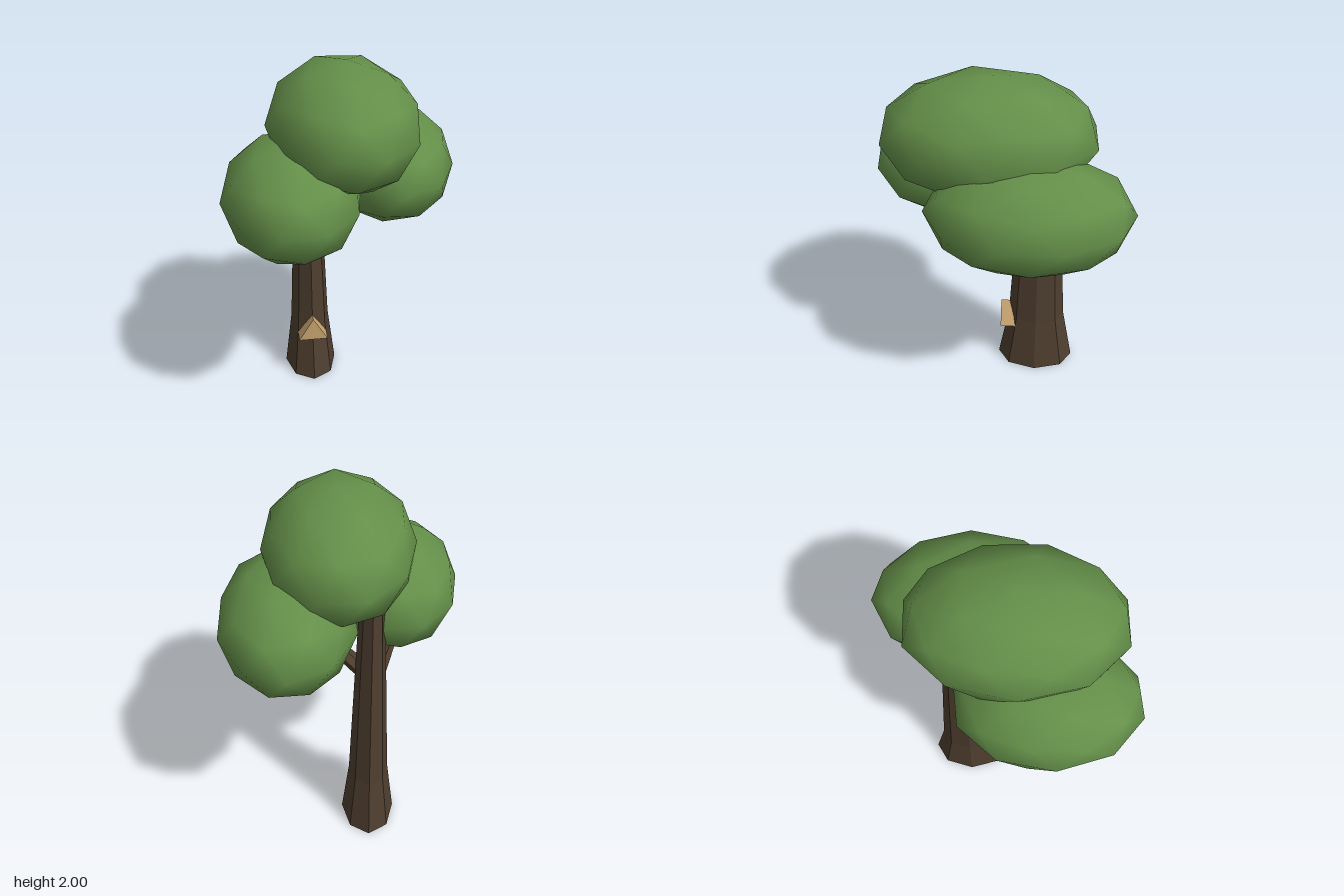
import * as THREE from 'three';

const leafGreen = new THREE.MeshStandardMaterial({ color: 0x648f49 });
const barkBrown = new THREE.MeshStandardMaterial({ color: 0x4e3e2f });
const paleWood = new THREE.MeshStandardMaterial({ color: 0xc8a470 });

// Gives every face its own normals for a faceted look
function faceted(geometry) {
  const g = geometry.index ? geometry.toNonIndexed() : geometry;
  g.computeVertexNormals();
  return g;
}

function part(name, geometry, material) {
  const mesh = new THREE.Mesh(geometry, material);
  mesh.name = name;
  return mesh;
}

// Smooth icosphere with a vertex on top, turned, then stretched to the given radii
function foliage(name, center, radii, turn, tilt) {
  const g = new THREE.IcosahedronGeometry(1, 1);
  g.rotateZ(Math.PI / 2 - Math.atan((1 + Math.sqrt(5)) / 2));
  g.rotateY(Math.PI / 2 + turn);
  g.rotateZ(tilt);
  g.scale(...radii);
  const mesh = part(name, g, leafGreen);
  mesh.position.set(...center);
  return mesh;
}

// Six-sided stick between two points
function branch(name, from, to) {
  const a = new THREE.Vector3(...from);
  const dir = new THREE.Vector3(...to).sub(a);
  const g = faceted(new THREE.CylinderGeometry(0.032, 0.042, dir.length(), 6));
  const mesh = part(name, g, barkBrown);
  mesh.position.copy(a).addScaledVector(dir, 0.5);
  mesh.quaternion.setFromUnitVectors(new THREE.Vector3(0, 1, 0), dir.normalize());
  return mesh;
}

export function createModel() {
  const tree = new THREE.Group();
  tree.name = 'tree';

  // Trunk and branches, deeper than wide
  const wood = new THREE.Group();
  wood.name = 'trunkAndBranches';
  wood.position.set(-0.15, 0, -0.215);
  wood.scale.z = 1.5;
  const profile = [[0, 0], [0.153, 0], [0.112, 0.34], [0.083, 1.06], [0.06, 1.6], [0, 1.6]]
    .map(([r, y]) => new THREE.Vector2(r, y));
  wood.add(part('trunk', faceted(new THREE.LatheGeometry(profile, 8)), barkBrown));
  wood.add(branch('leftBranch', [0.06, 1.04, 0.033], [0.27, 1.27, 0.033]));
  wood.add(branch('rightBranch', [-0.05, 1.04, 0.033], [-0.16, 1.25, 0.16]));
  tree.add(wood);

  // Wooden wedge on the front of the trunk
  const triangle = new THREE.Shape([
    new THREE.Vector2(-0.085, 0), new THREE.Vector2(0.085, 0), new THREE.Vector2(0, 0.14),
  ]);
  const wedge = part('wedge',
    new THREE.ExtrudeGeometry(triangle, { depth: 0.12, bevelEnabled: false }), paleWood);
  wedge.position.set(-0.15, 0.285, -0.12);
  tree.add(wedge);

  // Three leaf clumps
  tree.add(foliage('topFoliage', [0.015, 1.665, 0.052], [0.405, 0.333, 0.578], 0.02, -0.04));
  tree.add(foliage('rightFoliage', [-0.277, 1.348, 0.222], [0.365, 0.31, 0.5], 0.08, 0));
  tree.add(foliage('leftFoliage', [0.28, 1.37, -0.168], [0.37, 0.31, 0.545], Math.PI / 2 + 0.04, 0));

  return tree;
}
